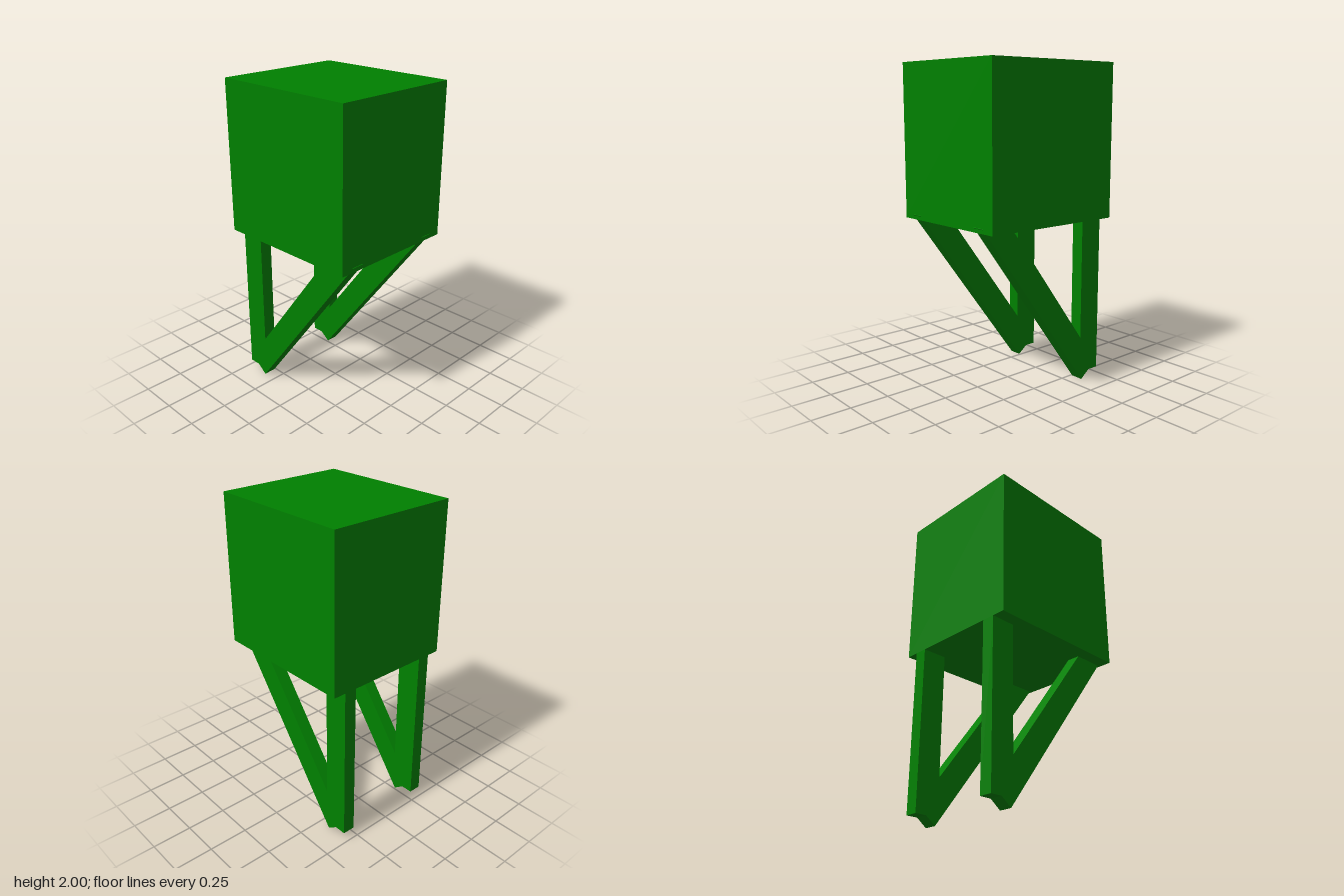
import * as THREE from 'three';

export function createModel() {
  const model = new THREE.Group();
  const green = new THREE.MeshStandardMaterial({ color: 0x008000 });

  const addBox = (name, size, position, tilt = 0) => {
    const mesh = new THREE.Mesh(new THREE.BoxGeometry(...size), green);
    mesh.name = name;
    mesh.position.set(...position);
    mesh.rotation.x = tilt;
    model.add(mesh);
  };

  // Solid block on top
  addBox('block', [0.84, 0.947, 0.948], [0, 1.5265, -0.002]);

  // Upright rear posts and the slanted struts that meet them at the foot
  const thickness = 0.08, width = 0.157;
  const slant = Math.atan2(0.6, 0.8);
  for (const [side, x] of [['left', 0.3], ['right', -0.3]]) {
    addBox(side + 'Post', [thickness, 1.003, width], [x, 0.5515, -0.3975]);
    addBox(side + 'Strut', [thickness, 1.35, width], [x, 0.587, 0.007], slant);
  }

  return model;
}
